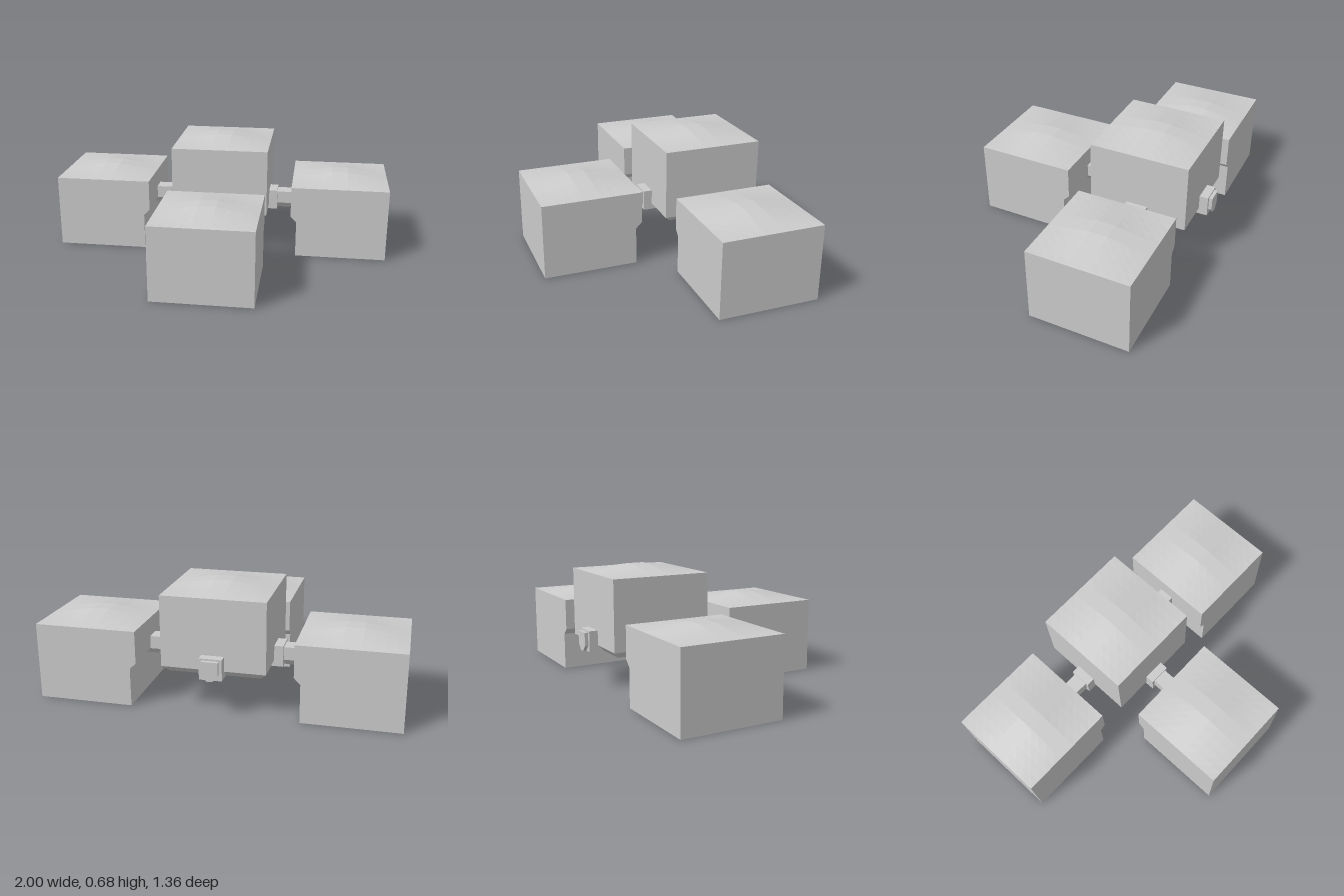
import * as THREE from 'three';

const HALF = 0.285;      // half width of every block
const UNDER = 0.215;     // underside of the hub and its arms
const CHAMFER = 0.25;    // top of the lower chamfers
const CENTER_Z = -0.322; // hub position

const material = new THREE.MeshStandardMaterial({ color: 0xcccccc, flatShading: true });

function mesh(name, geometry) {
  const m = new THREE.Mesh(geometry, material);
  m.name = name;
  return m;
}

// Extrudes an outline along z, from z0 to z1
function prism(name, points, z0, z1) {
  const shape = new THREE.Shape(points.map(([x, y]) => new THREE.Vector2(x, y)));
  const geo = new THREE.ExtrudeGeometry(shape, { depth: z1 - z0, bevelEnabled: false });
  return mesh(name, geo.translate(0, 0, z0));
}

// Shallow crowned lid: flat small centre, slopes down to a level rim
function crown(y) {
  const stops = [-1, -0.79, -0.58, -0.38, -0.17, 0.17, 0.38, 0.58, 0.79, 1];
  const n = stops.length - 1;
  const geo = new THREE.PlaneGeometry(2, 2, n, n).rotateX(-Math.PI / 2);
  const pos = geo.attributes.position;
  const rise = (t) => Math.min(1, (1 - Math.abs(t)) / 0.83);
  for (let i = 0; i < pos.count; i++) {
    const u = stops[i % (n + 1)];
    const v = stops[Math.floor(i / (n + 1))];
    pos.setXYZ(i, u * HALF, y + 0.037 * rise(u) * rise(v), v * HALF);
  }
  geo.computeVertexNormals();
  return mesh('crownedTop', geo);
}

// Outer block, undercut on the side facing the hub (-x)
function outerBlock(name) {
  const g = new THREE.Group();
  g.name = name;
  const inner = -HALF + 0.035;
  g.add(prism('blockBody', [
    [inner, 0], [HALF, 0], [HALF, 0.43], [-HALF, 0.43], [-HALF, CHAMFER], [inner, UNDER],
  ], -HALF, HALF));
  g.add(crown(0.43));
  return g;
}

// Stepped connector reaching out along +z
function connector(name, end) {
  const g = new THREE.Group();
  g.name = name;
  g.add(prism('collar', [
    [-0.062, UNDER], [0.062, UNDER], [0.062, 0.333], [-0.062, 0.333],
  ], 0.24, 0.335));
  g.add(prism('tongue', [
    [-0.015, UNDER], [0.015, UNDER], [0.045, CHAMFER], [0.045, 0.323],
    [-0.045, 0.323], [-0.045, CHAMFER],
  ], 0.3, end));
  return g;
}

export function createModel() {
  const model = new THREE.Group();
  model.name = 'blockCluster';
  const cluster = new THREE.Group();
  cluster.name = 'cluster';
  cluster.position.z = CENTER_Z;
  model.add(cluster);

  // Raised hub with chamfered underside
  const hub = new THREE.Group();
  hub.name = 'hub';
  const bodyHeight = 0.643 - CHAMFER;
  hub.add(mesh('hubBody', new THREE.BoxGeometry(2 * HALF, bodyHeight, 2 * HALF)
    .translate(0, CHAMFER + bodyHeight / 2, 0)));
  hub.add(mesh('hubChamfer', new THREE.CylinderGeometry(
    HALF * Math.SQRT2, (HALF - 0.035) * Math.SQRT2, CHAMFER - UNDER, 4)
    .rotateY(Math.PI / 4).translate(0, (CHAMFER + UNDER) / 2, 0)));
  hub.add(mesh('centrePad', new THREE.BoxGeometry(0.045, 0.008, 0.045).translate(0, UNDER, 0)));
  hub.add(crown(0.643));
  cluster.add(hub);

  // Outer blocks: left, right and front
  const blocks = [
    ['leftBlock', 0, 0.715], ['rightBlock', Math.PI, 0.715], ['frontBlock', -Math.PI / 2, 0.715],
  ];
  for (const [name, angle, distance] of blocks) {
    const block = outerBlock(name);
    block.position.set(Math.cos(angle) * distance, 0, -Math.sin(angle) * distance);
    block.rotation.y = angle;
    cluster.add(block);
  }

  // Connectors on all four sides; the back one is a short free stub
  const arms = [
    ['frontConnector', 0, 0.48], ['leftConnector', 1, 0.48],
    ['backStub', 2, 0.355], ['rightConnector', 3, 0.48],
  ];
  for (const [name, quarter, end] of arms) {
    const arm = connector(name, end);
    arm.rotation.y = quarter * Math.PI / 2;
    cluster.add(arm);
  }
  return model;
}
